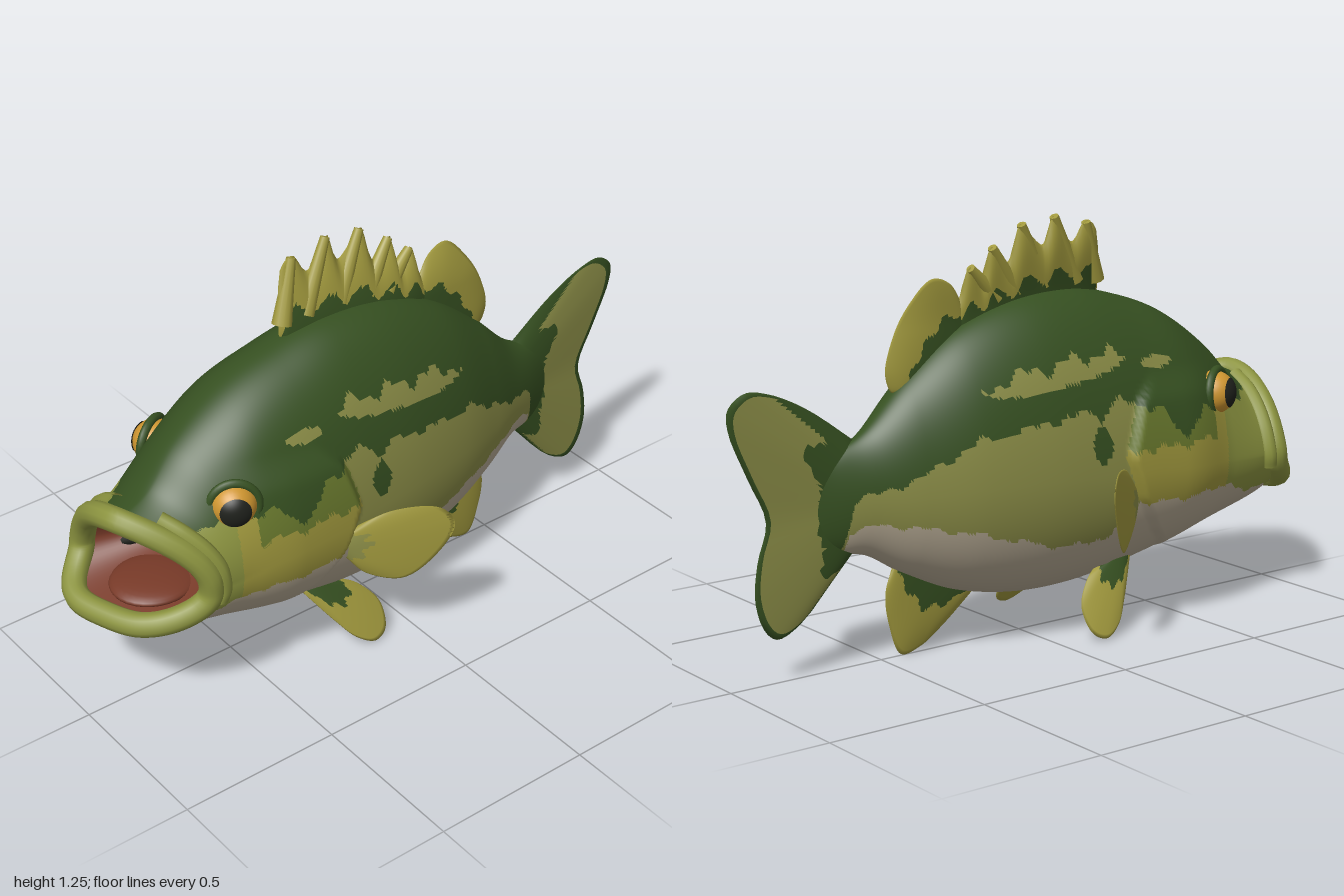
import * as THREE from 'three';
import { mergeVertices } from 'three/addons/utils/BufferGeometryUtils.js';

const paint = (name, color) => {
  const m = new THREE.MeshStandardMaterial({ color, side: THREE.DoubleSide });
  m.name = name;
  return m;
};
const V = (x, y, z) => new THREE.Vector3(x, y, z);
const smooth = THREE.MathUtils.smoothstep;

// Piecewise linear lookup in a list of [key, value], keys ascending
function lookup(list, k) {
  if (k <= list[0][0]) return list[0][1];
  for (let i = 1; i < list.length; i++) {
    const [k0, v0] = list[i - 1], [k1, v1] = list[i];
    if (k <= k1) return v0 + (v1 - v0) * (k - k0) / (k1 - k0);
  }
  return list[list.length - 1][1];
}

// Smooth grid surface; pick() chooses the material of each triangle
function surface(name, nu, nv, point, mats, pick = () => 0) {
  const pos = [], lists = mats.map(() => []);
  for (let j = 0; j <= nv; j++)
    for (let i = 0; i <= nu; i++) pos.push(...point(i / nu, j / nv).toArray());
  for (let j = 0; j < nv; j++)
    for (let i = 0; i < nu; i++) {
      const a = j * (nu + 1) + i, b = a + 1, c = a + nu + 1, d = c + 1;
      for (const [tri, du, dv] of [[[a, b, d], 2 / 3, 1 / 3], [[a, d, c], 1 / 3, 2 / 3]]) {
        const u = (i + du) / nu, v = (j + dv) / nv;
        lists[pick(point(u, v), u, v)].push(...tri);
      }
    }
  let g = new THREE.BufferGeometry();
  g.setAttribute('position', new THREE.Float32BufferAttribute(pos, 3));
  g.setIndex(lists.flat());
  let start = 0;
  lists.forEach((l, i) => { g.addGroup(start, l.length, i); start += l.length; });
  g = mergeVertices(g, 1e-5);
  g.computeVertexNormals();
  const mesh = new THREE.Mesh(g, mats);
  mesh.name = name;
  return mesh;
}

// Body sections: zTop, zSide, zBottom, yTop, yWidest, yBottom, halfWidth, xOffset, lowerSquareness
const RINGS = [
  [0.92, 0.80, 0.94, 0.69, 0.47, 0.355, 0.215, 0.025, 0.6],
  [0.80, 0.72, 0.82, 0.73, 0.47, 0.30, 0.235, 0.02, 0.75],
  [0.68, 0.61, 0.66, 0.83, 0.48, 0.25, 0.25, 0.01, 0.9],
  [0.50, 0.50, 0.50, 0.94, 0.49, 0.205, 0.262, 0, 1],
  [0.33, 0.33, 0.33, 1.00, 0.50, 0.165, 0.262, 0, 1],
  [0.15, 0.15, 0.15, 1.035, 0.50, 0.135, 0.257, 0, 1],
  [-0.05, -0.05, -0.05, 1.02, 0.51, 0.135, 0.24, 0, 1],
  [-0.25, -0.25, -0.25, 0.945, 0.51, 0.175, 0.20, 0, 1],
  [-0.42, -0.42, -0.42, 0.815, 0.50, 0.25, 0.14, 0, 1],
  [-0.55, -0.55, -0.55, 0.69, 0.50, 0.325, 0.085, 0, 1],
  [-0.65, -0.65, -0.65, 0.64, 0.49, 0.345, 0.045, 0, 1],
  [-0.75, -0.75, -0.75, 0.60, 0.48, 0.38, 0.004, 0, 1],
];
// The offset front sections also lean and twist towards the left
function ringPoint(r, t) {
  const s = Math.sin(t), c = Math.cos(t), power = c < 0 ? r[8] : 1.75 - 0.75 * r[8];
  const x = r[7] * (1 + 1.6 * Math.max(c, 0)) + r[6] * Math.sign(s) * Math.abs(s) ** power;
  const y = r[4] + (c > 0 ? r[3] - r[4] : r[4] - r[5]) * c;
  return V(x, y, r[1] + ((c > 0 ? r[0] : r[2]) - r[1]) * c * c - 14 * r[7] * x);
}
function ringAt(v) {
  const n = RINGS.length - 1, k = Math.min(Math.floor(v * n), n - 1), f = v * n - k;
  const [a, b, c, d] = [k - 1, k, k + 1, k + 2].map(i => RINGS[Math.min(Math.max(i, 0), n)]);
  return b.map((p, i) => p + 0.5 * f * (c[i] - a[i] + f * (2 * a[i] - 5 * p + 4 * c[i] - d[i] + f * (3 * (p - c[i]) + d[i] - a[i]))));
}

// Marking borders: gill edge as z by y, the others as y by z
const GILL = [[0.2, 0.46], [0.31, 0.33], [0.42, 0.25], [0.55, 0.2], [0.71, 0.25], [0.8, 0.34]];
const BACK = [[-0.66, 0.28], [-0.62, 0.5], [-0.44, 0.56], [-0.28, 0.65], [0, 0.69], [0.2, 0.72], [0.34, 0.68],
  [0.38, 0.61], [0.43, 0.6], [0.5, 0.66], [0.6, 0.66], [0.7, 0.655], [0.82, 0.655], [1, 0.69]];
const BELLY = [[-0.66, 0.2], [-0.63, 0.41], [-0.55, 0.43], [-0.28, 0.38], [0, 0.3], [0.17, 0.31], [0.24, 0.41],
  [0.41, 0.4], [0.6, 0.41], [0.76, 0.36], [1, 0.36]];

function bodyPoint(u, v) {
  const t = u * Math.PI * 2, p = ringPoint(ringAt(v), t);
  const zg = lookup(GILL, p.y);
  const lift = 0.024 * smooth(p.z, zg, zg + 0.025) * (1 - smooth(p.z, 0.42, 0.66)) * (1 - smooth(p.y, 0.7, 0.8));
  p.x += Math.sin(t) * lift;
  return p;
}
function bodyColour({ y, z }) {
  const w = 0.008 * Math.sin(41 * z) + 0.006 * Math.sin(97 * z + 2);
  const streak = Math.abs(z) < 0.25 && Math.abs(y - 0.81 - 0.13 * z - w) < 0.032 * (1 - (z / 0.25) ** 4) + w;
  const fleck = ((z - 0.36) / 0.06) ** 2 + ((y - 0.815) / 0.018) ** 2 < 1;
  if (streak || fleck) return 2;
  if (y > lookup(BACK, z) + w) return 0;
  if (y < lookup(BELLY, z) + w * 0.7) return 4;
  if (z > lookup(GILL, y)) {
    if (z > 0.62) return 5;
    return y > 0.57 + w && z < 0.56 ? 1 : 3;
  }
  if (Math.abs(z - 0.12) < 0.035 * Math.abs(Math.sin((y - 0.53) * 24)) && y > 0.54) return 0;
  return 2;
}

// Lens-section fin between a root line and an outer edge, points given as [z, y]
function fin(name, root, edge, half, power, xAt, mats, pick) {
  const [r0, r1] = root.map(([z, y]) => V(0, y, z));
  const curve = new THREE.CatmullRomCurve3(edge.map(([z, y]) => V(0, y, z)), false, 'centripetal');
  return surface(name, 100, 20, (u, v) => {
    const side = u <= 0.5 ? 1 : -1, w = u <= 0.5 ? u * 2 : 2 - u * 2;
    const p = r0.clone().lerp(r1, w).lerp(curve.getPoint(w), v);
    p.x = xAt(p.z, p.y) + side * half * (1 - v ** power) * Math.max(0, 4 * w * (1 - w)) ** 0.35;
    return p;
  }, mats, pick);
}

export function createModel() {
  const model = new THREE.Group();
  model.name = 'fish';
  const dark = paint('dark green', 0x365021), mid = paint('mid green', 0x6a7a2e);
  const olive = paint('olive', 0x8b8d47), yellow = paint('yellow green', 0xa0983d);
  const cream = paint('cream', 0xb5a993), lipGreen = paint('lip green', 0x8c9440);
  const red = paint('mouth red', 0x783a28), amber = paint('amber', 0xcf9630), black = paint('black', 0x1f211c);
  const add = (name, geo, mat, parent = model) => {
    const m = new THREE.Mesh(geo, mat);
    m.name = name;
    parent.add(m);
    return m;
  };

  // Body with markings and raised gill covers
  model.add(surface('body', 176, 220, bodyPoint, [dark, mid, olive, yellow, cream, lipGreen], bodyColour));

  // Mouth: lips, upper jaw folds, cavity, tongue and throat band
  const lip = [];
  for (let i = 0; i < 28; i++) lip.push(ringPoint(RINGS[0], i / 28 * Math.PI * 2));
  add('lips', new THREE.TubeGeometry(new THREE.CatmullRomCurve3(lip, true), 120, 0.037, 12, true), lipGreen);
  for (const s of [1, -1]) {
    const fold = [0.4, 0.7, 1, 1.3, 1.6, 1.85].map(t => ringPoint(ringAt(0.05), s * t));
    add('upperJawFold', new THREE.TubeGeometry(new THREE.CatmullRomCurve3(fold), 40, 0.026, 10), lipGreen);
  }
  model.add(surface('mouthCavity', 64, 12, (u, v) =>
    ringPoint(RINGS[0], u * Math.PI * 2).lerp(V(0.0, 0.5, 0.45), v * v * 0.4 + v * 0.6), [red]));
  const tongue = add('tongue', new THREE.SphereGeometry(1, 32, 16), red);
  tongue.scale.set(0.12, 0.03, 0.13);
  tongue.position.set(0.025, 0.405, 0.77);
  add('throatBand', new THREE.TubeGeometry(new THREE.CatmullRomCurve3(
    [V(-0.14, 0.44, 0.76), V(-0.06, 0.48, 0.71), V(0.02, 0.495, 0.68), V(0.1, 0.48, 0.67), V(0.18, 0.44, 0.68)]), 32, 0.016, 8), black);

  // Eyes
  for (const s of [1, -1]) {
    const eye = new THREE.Group();
    eye.name = s > 0 ? 'leftEye' : 'rightEye';
    eye.position.set(s * 0.192, 0.69, 0.6);
    eye.quaternion.setFromUnitVectors(V(0, 1, 0), V(s * 0.86, 0.05, 0.45).normalize());
    add('iris', new THREE.SphereGeometry(0.067, 32, 20), amber, eye);
    add('pupil', new THREE.SphereGeometry(0.07, 32, 10, 0, Math.PI * 2, 0, 0.7), black, eye);
    const rim = add('eyeRim', new THREE.TorusGeometry(0.07, 0.013, 10, 40), dark, eye);
    rim.rotation.x = Math.PI / 2;
    rim.position.y = 0.012;
    model.add(eye);
  }

  // Tail fin with dark base and rim
  model.add(fin('tailFin', [[-0.57, 0.62], [-0.57, 0.37]],
    [[-0.57, 0.655], [-0.74, 0.775], [-0.86, 0.83], [-0.935, 0.84], [-0.988, 0.8], [-0.988, 0.74], [-0.93, 0.6], [-0.875, 0.47],
      [-0.905, 0.36], [-0.915, 0.25], [-0.885, 0.16], [-0.845, 0.13], [-0.765, 0.165], [-0.6, 0.34]],
    0.034, 1, () => 0, [dark, olive], (p, u, v) => {
      const w = u < 0.5 ? u * 2 : 2 - u * 2;
      return v < 0.42 + 0.04 * Math.sin(w * 25) || v > 0.95 || w < 0.15 || w > 0.93 ? 0 : 1;
    }));

  // Dorsal fins, leaning slightly to the right
  const lean = (z, y) => -0.042 * smooth(y, 0.96, 1.25) - 0.004;
  const based = (k) => (p, u, v) => (v < k + 0.05 * Math.sin(u * 60) ? 0 : 1);
  model.add(fin('spinyDorsalFin', [[0.28, 0.99], [-0.25, 0.92]],
    [[0.29, 1.02], [0.25, 1.21], [0.21, 1.23], [0.17, 1.17], [0.14, 1.19], [0.09, 1.255], [0.06, 1.17], [0.03, 1.185], [-0.03, 1.24],
      [-0.06, 1.13], [-0.08, 1.135], [-0.13, 1.18], [-0.15, 1.08], [-0.2, 1.125], [-0.22, 1.04], [-0.25, 0.98]],
    0.03, 4, lean, [dark, yellow], based(0.45)));
  for (const [z, y] of [[0.215, 1.225], [0.095, 1.25], [-0.025, 1.235], [-0.125, 1.175], [-0.195, 1.12]]) {
    const z0 = z + (z > 0.2 ? 0.06 : 0.1), y0 = y - (y - 1) * 0.8;
    const a = V(lean(z0, y0), y0, z0), b = V(lean(z, y), y, z), d = b.clone().sub(a);
    const spine = add('dorsalSpine', new THREE.CylinderGeometry(0.014, 0.03, d.length(), 12), yellow);
    spine.position.copy(a).add(b).multiplyScalar(0.5);
    spine.quaternion.setFromUnitVectors(V(0, 1, 0), d.normalize());
  }
  model.add(fin('softDorsalFin', [[-0.19, 0.95], [-0.42, 0.78]],
    [[-0.19, 0.98], [-0.26, 1.08], [-0.33, 1.1], [-0.4, 1.03], [-0.455, 0.93], [-0.477, 0.84], [-0.455, 0.785], [-0.43, 0.79]],
    0.024, 3, lean, [dark, yellow], based(0.4)));

  // Anal fin
  model.add(fin('analFin', [[-0.17, 0.19], [-0.45, 0.31]],
    [[-0.16, 0.165], [-0.28, 0.07], [-0.36, 0.02], [-0.43, 0.008], [-0.47, 0.1], [-0.482, 0.2], [-0.45, 0.29]],
    0.016, 3, () => 0, [dark, yellow], based(0.45)));

  // Paired pelvic and pectoral fins
  for (const s of [1, -1]) {
    const side = s > 0 ? 'left' : 'right';
    model.add(fin(side + 'PelvicFin', [[0.32, 0.23], [0.2, 0.2]],
      [[0.33, 0.215], [0.25, 0.1], [0.2, 0.04], [0.14, 0.01], [0.095, 0.03], [0.085, 0.1], [0.14, 0.17], [0.19, 0.2]],
      0.02, 2, (z, y) => s * (0.13 + (0.21 - y) * 0.6), [dark, yellow], based(0.35)));
    model.add(fin(side + 'PectoralFin', [[0.25, 0.45], [0.25, 0.37]],
      [[0.25, 0.45], [0.145, 0.535], [0.04, 0.55], [0.005, 0.5], [0.04, 0.39], [0.12, 0.295], [0.2, 0.31], [0.25, 0.37]],
      0.018, 2, (z) => s * (0.255 + (0.23 - z) * 0.82), [olive, yellow], based(0.2)));
  }
  return model;
}
